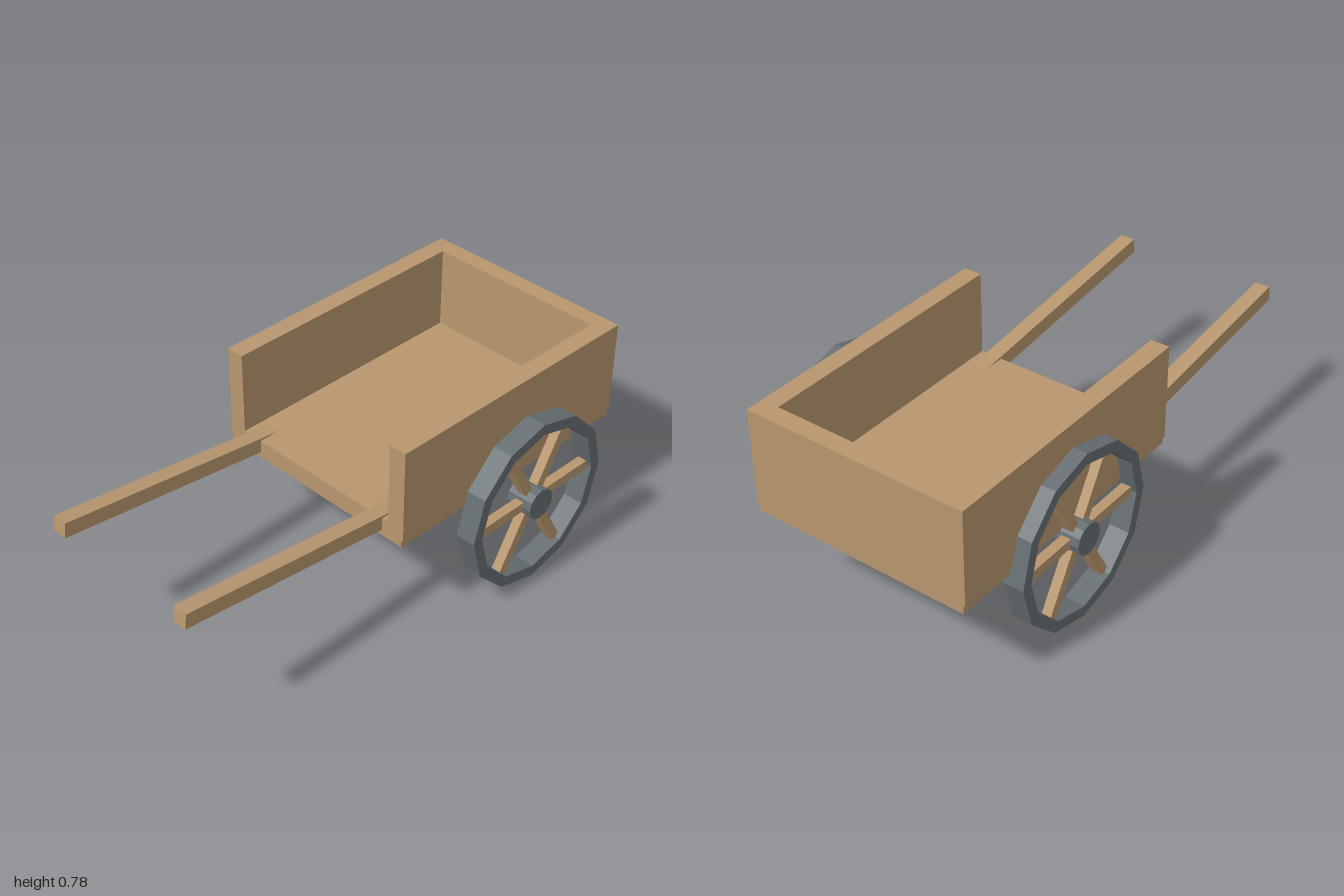
import * as THREE from 'three';

const wood = new THREE.MeshStandardMaterial({ color: 0xb8966e, flatShading: true });
const iron = new THREE.MeshStandardMaterial({ color: 0x666e72, flatShading: true });

function add(parent, name, geometry, material, x = 0, y = 0, z = 0) {
  const mesh = new THREE.Mesh(geometry, material);
  mesh.name = name;
  mesh.position.set(x, y, z);
  parent.add(mesh);
  return mesh;
}

// Twelve-sided rim, hub and six spokes, turning about x
function createWheel(name) {
  const wheel = new THREE.Group();
  wheel.name = name;
  const outer = 0.343, inner = 0.3, half = 0.04;
  const section = [[outer, -half], [outer, half], [inner, half], [inner, -half], [outer, -half]];
  const rim = new THREE.LatheGeometry(section.map(([r, h]) => new THREE.Vector2(r, h)), 12);
  add(wheel, 'rim', rim.rotateZ(Math.PI / 2), iron);
  add(wheel, 'hub', new THREE.CylinderGeometry(0.062, 0.062, 0.107, 12).rotateZ(Math.PI / 2), iron);
  for (let i = 0; i < 6; i++) {
    const spoke = new THREE.BoxGeometry(0.038, 0.038, 0.27).translate(0, 0, 0.17);
    add(wheel, 'spoke', spoke, wood).rotation.x = (i * Math.PI) / 3;
  }
  return wheel;
}

export function createModel() {
  const cart = new THREE.Group();
  cart.name = 'handcart';

  // Side and back walls: a U-shaped plan, open at the front
  const plan = [
    [-0.483, 0.12], [-0.41, 0.12], [-0.41, -0.93], [0.328, -0.93],
    [0.328, 0.12], [0.4, 0.12], [0.4, -1], [-0.483, -1],
  ];
  const outline = new THREE.Shape(plan.map(([x, z]) => new THREE.Vector2(x, -z)));
  const walls = new THREE.ExtrudeGeometry(outline, { depth: 0.375, bevelEnabled: false });
  add(cart, 'walls', walls.rotateX(-Math.PI / 2), wood, 0, 0.405, 0);

  // Floor slab, slightly narrower than the walls
  add(cart, 'floor', new THREE.BoxGeometry(0.867, 0.075, 1.12), wood, -0.0415, 0.4125, -0.44);

  // Handles rise towards the front from inside the floor
  for (const x of [-0.354, 0.269]) {
    const handle = new THREE.BoxGeometry(0.061, 0.06, 1.03).translate(0, 0, -0.515);
    add(cart, 'handle', handle, wood, x, 0.533, 0.9965).rotation.x = -0.117;
  }

  // Wheels
  for (const [name, x] of [['rightWheel', -0.5], ['leftWheel', 0.497]]) {
    const wheel = createWheel(name);
    wheel.position.set(x, 0.343, -0.437);
    cart.add(wheel);
  }
  return cart;
}
